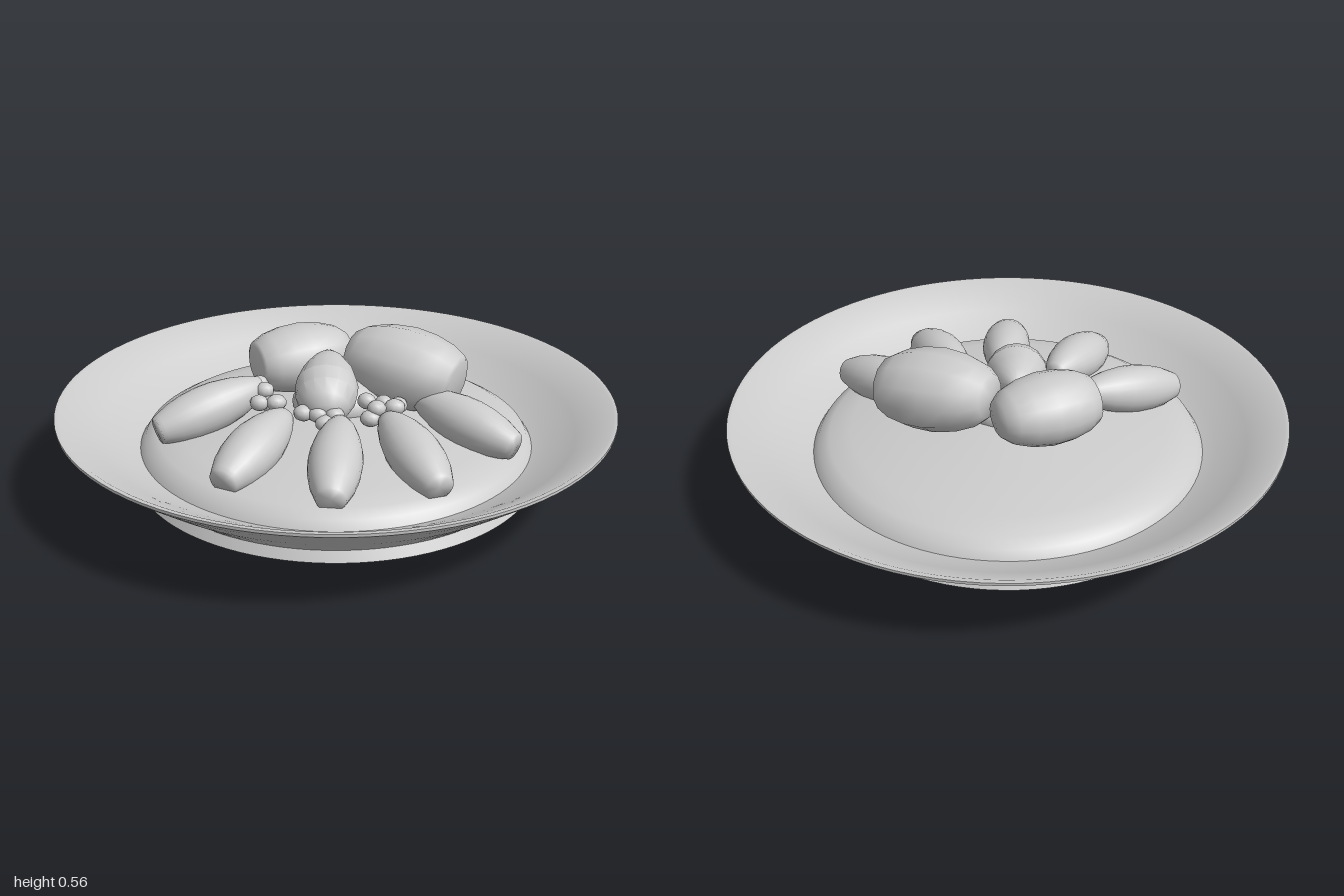
import * as THREE from 'three';
import { toCreasedNormals } from 'three/addons/utils/BufferGeometryUtils.js';

const V = (a) => new THREE.Vector3(...a);

// Surface of revolution with sharp edges kept
function turned(points, segments, crease = 0.6) {
  const g = new THREE.LatheGeometry(points.map((p) => new THREE.Vector2(...p)), segments);
  return toCreasedNormals(g, crease);
}

// Barrel-like profiles: [radius, position along the axis], radius 1 at the widest
const POD = [[0, 0], [0.4, 0], [0.62, 0.1], [0.83, 0.25], [0.97, 0.42], [1, 0.55], [0.95, 0.7],
  [0.82, 0.84], [0.62, 0.96], [0.55, 1], [0, 1]];
const CHUNK = [[0, 0], [0.52, 0], [0.74, 0.1], [0.91, 0.27], [1, 0.48], [0.97, 0.68], [0.86, 0.85],
  [0.68, 0.98], [0.55, 1], [0, 1]];
const TIP = [[0, 0], [0.2, 0.02], [0.52, 0.15], [0.82, 0.34], [1, 0.56], [0.96, 0.74], [0.75, 0.9],
  [0.45, 1], [0, 1]];

export function createModel() {
  const model = new THREE.Group();
  const gray = new THREE.MeshStandardMaterial({ color: 0xcccccc });
  gray.name = 'pale gray';

  const add = (name, geometry, parent = model) => {
    const mesh = new THREE.Mesh(geometry, gray);
    mesh.name = name;
    parent.add(mesh);
    return mesh;
  };

  // Lay a profile along the line from a to b, with half width w and half height h
  const lay = (name, profile, a, b, w, h, sides, parent) => {
    const start = V(a);
    const dir = V(b).sub(start);
    const length = dir.length();
    dir.normalize();
    const side = dir.clone().cross(V([0, 1, 0])).normalize();
    const up = side.clone().cross(dir);
    const g = turned(profile, sides, 0.75);
    g.scale(w, length, h);
    g.applyMatrix4(new THREE.Matrix4().makeBasis(side, dir, up).setPosition(start));
    return add(name, g, parent);
  };

  // Plate: foot, stepped ledge, flared wall, rim and raised well
  add('plate', turned([
    [0, 0], [0.55, 0], [0.565, 0.03], [0.65, 0.065], [0.735, 0.065], [0.715, 0.1],
    [0.72, 0.105], [0.86, 0.205], [0.96, 0.28], [1, 0.312], [1, 0.322], [0.985, 0.322],
    [0.86, 0.245], [0.76, 0.185], [0.71, 0.165], [0.69, 0.195], [0.65, 0.218], [0.57, 0.238],
    [0.4, 0.262], [0.2, 0.285], [0, 0.3],
  ], 96));

  // Fan of five pods, from the inner end to the outer tip
  const pods = new THREE.Group();
  pods.name = 'podFan';
  model.add(pods);
  [
    [[-0.27, 0.36, 0.02], [-0.6, 0.27, 0.25], 0.09],
    [[-0.16, 0.33, 0.21], [-0.31, 0.25, 0.57], 0.095],
    [[0.04, 0.33, 0.25], [0.05, 0.25, 0.655], 0.092],
    [[0.2, 0.33, 0.2], [0.39, 0.25, 0.54], 0.092],
    [[0.3, 0.34, 0.03], [0.635, 0.27, 0.25], 0.088],
  ].forEach(([a, b, w], i) => lay('pod' + (i + 1), POD, a, b, w, 0.088, 24, pods));

  // Larger pieces heaped behind the fan
  lay('largeChunk', CHUNK, [0.05, 0.44, -0.16], [0.435, 0.385, -0.01], 0.168, 0.145, 12);
  lay('backChunk', CHUNK, [0.01, 0.41, -0.255], [-0.3, 0.4, -0.075], 0.145, 0.125, 20);
  lay('centerChunk', TIP, [-0.035, 0.45, -0.1], [-0.015, 0.35, 0.23], 0.112, 0.1, 16);

  // Core that fills the space under the heap
  const core = add('core', new THREE.SphereGeometry(1, 20, 12));
  core.scale.set(0.16, 0.09, 0.13);
  core.position.set(0, 0.3, 0.0);

  // Small crumbs between the pods
  const crumbs = new THREE.Group();
  crumbs.name = 'crumbs';
  model.add(crumbs);
  [
    [-0.28, 0.37, 0.0], [-0.25, 0.37, 0.06], [-0.2, 0.35, 0.12], [-0.26, 0.35, 0.13], [-0.23, 0.33, 0.09],
    [-0.09, 0.36, 0.22], [-0.04, 0.36, 0.23], [0.02, 0.36, 0.23], [-0.01, 0.34, 0.255],
    [0.12, 0.37, 0.12], [0.16, 0.37, 0.18], [0.22, 0.36, 0.14], [0.18, 0.36, 0.11], [0.23, 0.35, 0.1],
    [0.14, 0.34, 0.2],
  ].forEach(([x, y, z], i) => {
    const crumb = add('crumb' + (i + 1), new THREE.SphereGeometry(0.034, 10, 7), crumbs);
    crumb.position.set(x, y - 0.01, z);
    crumb.scale.set(1, 0.85, 0.9 + 0.1 * (i % 3));
    crumb.rotation.y = i;
  });

  return model;
}
